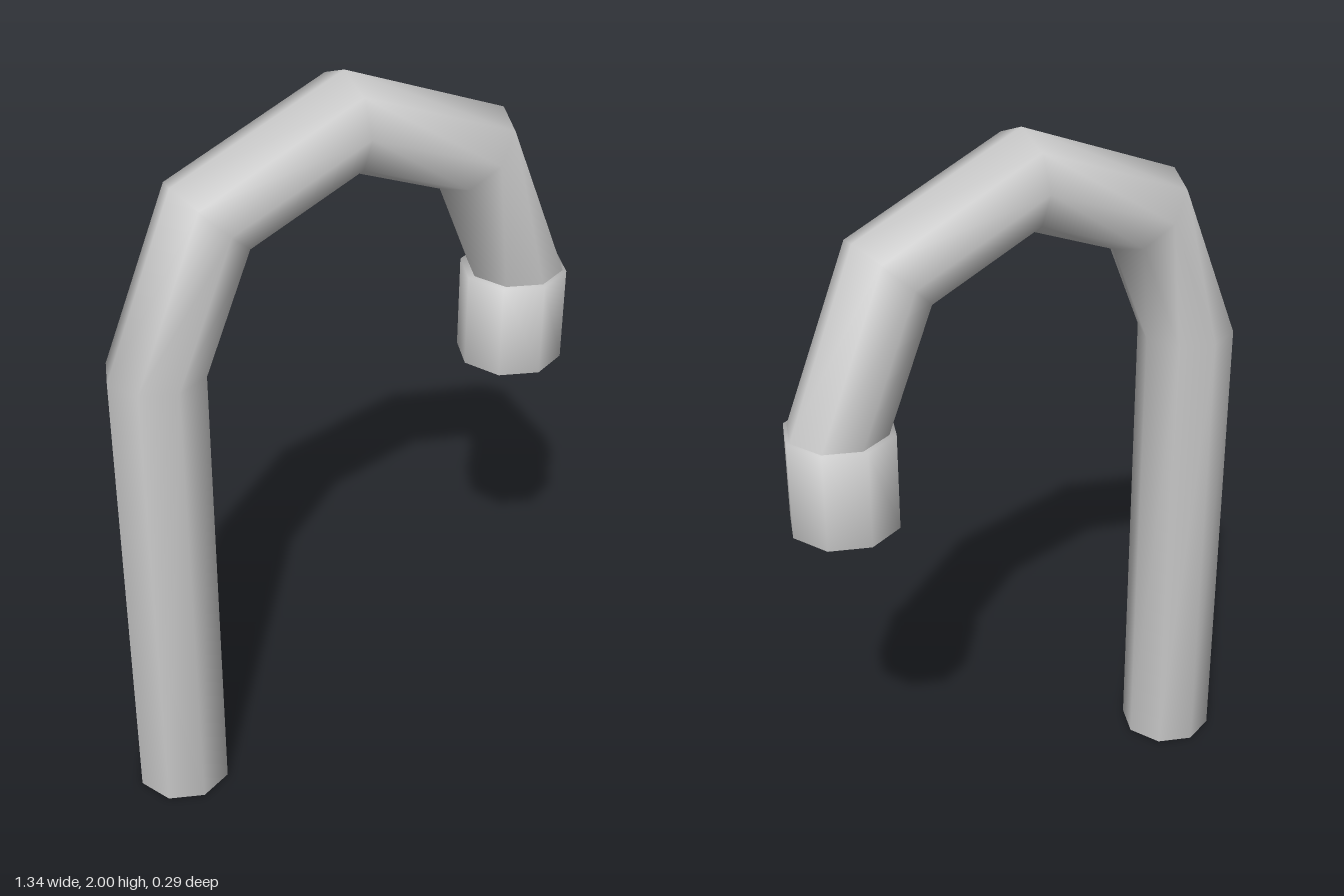
import * as THREE from 'three';

const SIDES = 8;
const PIPE_R = 0.131;
const BEND_R = 0.535;
const BEND_Y = 1.335;

// Octagonal pipe: a straight riser followed by a half-circle bend in four mitred pieces
function pipeGeometry() {
  const rings = [{ x: -BEND_R, y: 0, angle: Math.PI }];
  for (let i = 0; i <= 4; i++) {
    const angle = Math.PI * (1 - i / 4);
    rings.push({ x: BEND_R * Math.cos(angle), y: BEND_Y + BEND_R * Math.sin(angle), angle });
  }
  const positions = [];
  const indices = [];
  rings.forEach(({ x, y, angle }, i) => {
    for (let j = 0; j < SIDES; j++) {
      const a = (j / SIDES) * Math.PI * 2;
      const out = PIPE_R * Math.cos(a);
      positions.push(x + out * Math.cos(angle), y + out * Math.sin(angle), PIPE_R * Math.sin(a));
      if (i === 0) continue;
      const k = (j + 1) % SIDES;
      const low = (i - 1) * SIDES;
      const high = i * SIDES;
      indices.push(low + j, low + k, high + k, low + j, high + k, high + j);
    }
  });
  // Closed foot
  const centre = positions.length / 3;
  positions.push(-BEND_R, 0, 0);
  for (let j = 0; j < SIDES; j++) indices.push(centre, (j + 1) % SIDES, j);

  const geometry = new THREE.BufferGeometry();
  geometry.setAttribute('position', new THREE.Float32BufferAttribute(positions, 3));
  geometry.setIndex(indices);
  geometry.computeVertexNormals();
  return geometry;
}

// Hollow collar at the outlet, open downwards
function collarGeometry() {
  const profile = [
    [0, 0.2], [0.112, 0.2], [0.112, 0], [0.145, 0], [0.145, 0.265], [0, 0.265],
  ].map(([r, y]) => new THREE.Vector2(r, y));
  return new THREE.LatheGeometry(profile, SIDES);
}

export function createModel() {
  const group = new THREE.Group();
  group.name = 'bentPipe';
  const material = new THREE.MeshStandardMaterial({ color: 0xcccccc });

  const pipe = new THREE.Mesh(pipeGeometry(), material);
  pipe.name = 'pipe';
  pipe.position.x = -0.005;

  const collar = new THREE.Mesh(collarGeometry(), material);
  collar.name = 'outletCollar';
  collar.position.set(0.525, 1.07, 0);

  group.add(pipe, collar);
  return group;
}
